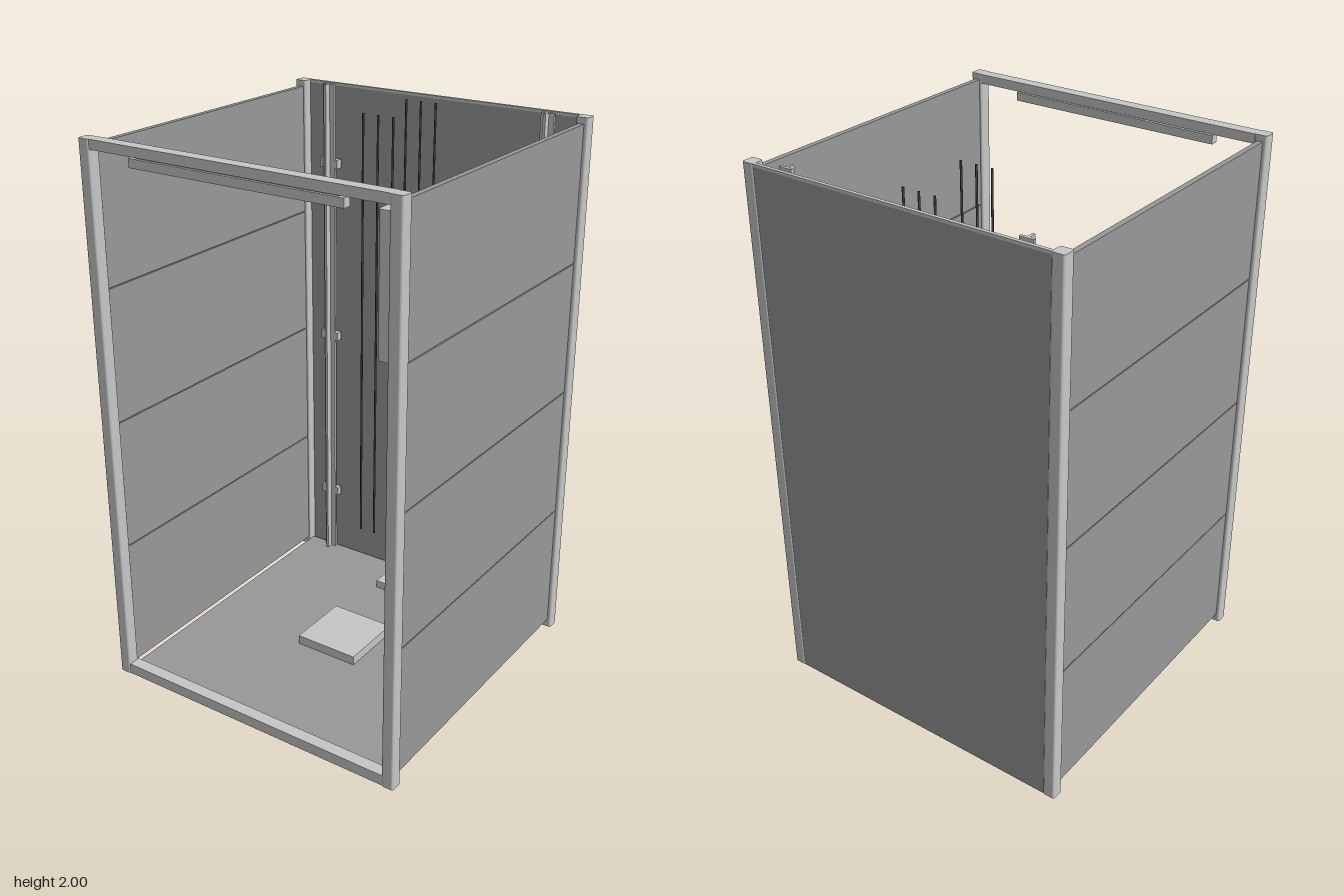
import * as THREE from 'three';

const mat = (name, color) => {
  const m = new THREE.MeshStandardMaterial({ color });
  m.name = name;
  return m;
};

export function createModel() {
  const root = new THREE.Group();
  root.name = 'liftShaft';
  const light = mat('light steel', 0xc8c8c8);
  const grey = mat('grey panel', 0x999999);
  const dark = mat('dark rope', 0x404040);

  const add = (name, geo, material) => {
    const m = new THREE.Mesh(geo, material);
    m.name = name;
    root.add(m);
    return m;
  };
  // box given by its minimum and maximum on each axis
  const box = (name, material, x0, x1, y0, y1, z0, z1) => {
    const m = add(name, new THREE.BoxGeometry(x1 - x0, y1 - y0, z1 - z0), material);
    m.position.set((x0 + x1) / 2, (y0 + y1) / 2, (z0 + z1) / 2);
    return m;
  };
  // upright prism with rounded vertical edges
  const roundedColumn = (name, material, w, d, r, y0, y1, x, z) => {
    const s = new THREE.Shape();
    const a = w / 2, b = d / 2;
    s.moveTo(-a + r, -b).lineTo(a - r, -b).absarc(a - r, -b + r, r, -Math.PI / 2, 0);
    s.lineTo(a, b - r).absarc(a - r, b - r, r, 0, Math.PI / 2);
    s.lineTo(-a + r, b).absarc(-a + r, b - r, r, Math.PI / 2, Math.PI);
    s.lineTo(-a, -b + r).absarc(-a + r, -b + r, r, Math.PI, Math.PI * 1.5);
    const g = new THREE.ExtrudeGeometry(s, { depth: y1 - y0, bevelEnabled: false, curveSegments: 6 });
    g.rotateX(-Math.PI / 2);
    add(name, g, material).position.set(x, y0, z);
  };

  // pit floor
  box('floor', grey, -0.552, 0.552, 0.004, 0.03, -0.573, 0.552);

  // corner posts
  for (const x of [-1, 1]) for (const z of [-1, 1])
    roundedColumn('cornerPost', light, 0.046, 0.046, 0.008, 0, 2, x * 0.577, z * 0.577);

  // front sill and header with door track
  box('frontSill', light, -0.556, 0.556, 0, 0.04, 0.552, 0.597);
  box('frontHeader', light, -0.556, 0.556, 1.967, 2, 0.552, 0.597);
  box('doorTrack', light, -0.4, 0.4, 1.93, 1.96, 0.56, 0.59);
  box('doorTrackHanger', light, -0.38, 0.38, 1.955, 1.97, 0.57, 0.58);

  // back wall with a light cap
  box('backPanel', grey, -0.556, 0.556, 0, 1.99, -0.598, -0.585);
  box('backCap', light, -0.556, 0.556, 1.99, 2, -0.598, -0.585);

  // side walls: four stacked panels over a core, leaving fine grooves
  const rows = 4, y0 = 0.03, step = 1.95 / rows, gap = 0.002;
  for (const s of [-1, 1]) {
    const wall = (name, a, b, lo, hi) =>
      box(name, grey, Math.min(s * a, s * b), Math.max(s * a, s * b), lo, hi, -0.556, 0.556);
    wall('sideCore', 0.57, 0.58, y0 + 0.01, 1.97);
    for (let i = 0; i < rows; i++)
      wall('sidePanel', 0.565, 0.585, y0 + i * step + gap, y0 + (i + 1) * step - gap);
  }

  // T-shaped guide rails with wall brackets
  for (const s of [-1, 1]) {
    const x = s * 0.45;
    box('railFlange', light, x - 0.025, x + 0.025, 0.03, 2, -0.565, -0.555);
    box('railWeb', light, x - 0.005, x + 0.005, 0.03, 2, -0.555, -0.53);
    for (const y of [0.3, 1, 1.7]) {
      box('railBracket', light, x - 0.04, x + 0.04, y - 0.017, y + 0.017, -0.577, -0.565);
      for (const e of [-1, 1]) {
        const cx = x + e * 0.0325;
        box('railClip', light, cx - 0.0075, cx + 0.0075, y - 0.017, y + 0.017, -0.565, -0.553);
      }
    }
  }

  // counterweight
  roundedColumn('counterweight', light, 0.296, 0.08, 0.014, 1, 1.6, 0, -0.475);

  // buffers on the pit floor
  box('carBuffer', light, -0.125, 0.125, 0.02, 0.065, -0.125, 0.125);
  box('counterweightBuffer', light, -0.1, 0.1, 0.02, 0.06, -0.525, -0.378);

  // hoisting ropes for the car and the counterweight
  for (const [z, low] of [[-0.2, 0.4], [-0.475, 1.6]])
    for (const x of [-0.06, 0, 0.06])
      add('rope', new THREE.CylinderGeometry(0.004, 0.004, 2 - low, 8), dark)
        .position.set(x, (2 + low) / 2, z);

  return root;
}
